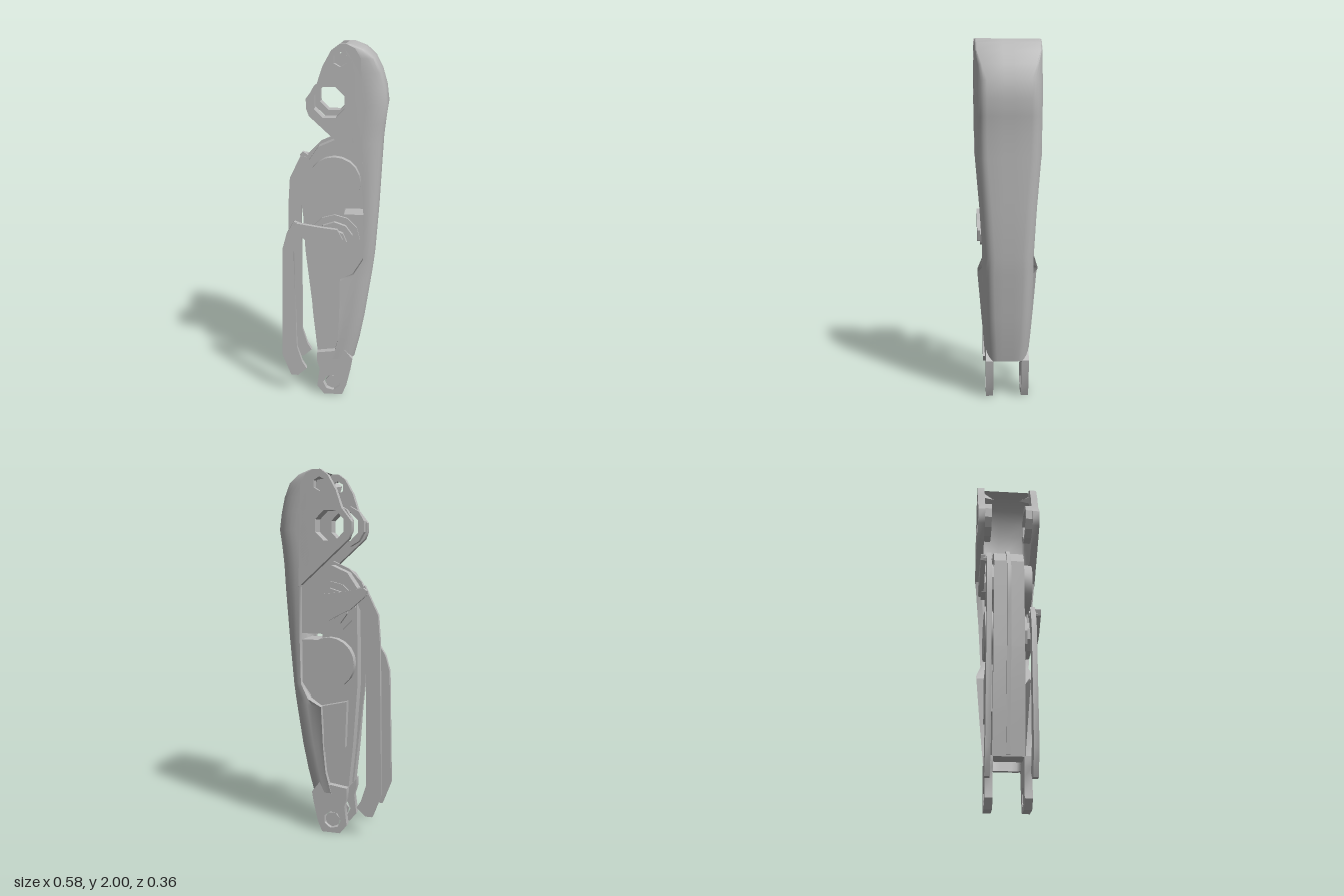
import * as THREE from 'three';
import { toCreasedNormals } from 'three/addons/utils/BufferGeometryUtils.js';

export function createModel() {
  const root = new THREE.Group();
  root.name = 'mechanicalLegSegment';
  const metal = new THREE.MeshStandardMaterial({ color: 0xb9b9b9, side: THREE.DoubleSide });
  metal.name = 'light grey metal';

  const add = (name, geo, crease = 0.5) => {
    const mesh = new THREE.Mesh(toCreasedNormals(geo, crease), metal);
    mesh.name = name;
    root.add(mesh);
    return mesh;
  };

  // points of a regular polygon
  const polygon = (x, y, r, n, dir = 1) => Array.from({ length: n }, (_, i) => {
    const a = dir * (i + 0.5) / n * Math.PI * 2;
    return new THREE.Vector2(x + r * Math.cos(a), y + r * Math.sin(a));
  });

  // flat plate in the xy plane between z0 and z1; holes are [x, y, radius, sides]
  const plate = (name, pts, z0, z1, holes = []) => {
    const shape = new THREE.Shape(pts.map(p => new THREE.Vector2(p[0], p[1])));
    for (const [x, y, r, n] of holes) shape.holes.push(new THREE.Path(polygon(x, y, r, n, -1)));
    const geo = new THREE.ExtrudeGeometry(shape, { depth: Math.abs(z1 - z0), bevelEnabled: false });
    geo.translate(0, 0, Math.min(z0, z1));
    return add(name, geo);
  };

  // disc with its axis along z
  const disc = (name, x, y, r, z0, z1, n = 20) => {
    const geo = new THREE.CylinderGeometry(r, r, Math.abs(z1 - z0), n);
    geo.rotateX(Math.PI / 2);
    geo.translate(x, y, (z0 + z1) / 2);
    return add(name, geo);
  };

  // channel shell: U sections [y, front edge x, back x, half width at front edge, half width at bend]
  const sections = [
    [2.0, 0.06, 0.1, 0.178, 0.178], [1.975, 0.07, 0.165, 0.18, 0.18], [1.93, 0.09, 0.215, 0.18, 0.18],
    [1.86, 0.1, 0.253, 0.18, 0.18], [1.78, 0.1, 0.278, 0.18, 0.18], [1.69, 0.1, 0.29, 0.18, 0.18],
    [1.6, 0.1, 0.277, 0.18, 0.18], [1.5, 0.11, 0.266, 0.18, 0.18], [1.38, 0.16, 0.26, 0.177, 0.177],
    [1.1, 0.17, 0.247, 0.154, 0.154], [0.85, 0.17, 0.23, 0.139, 0.139], [0.77, 0.12, 0.22, 0.166, 0.142],
    [0.73, 0.045, 0.214, 0.166, 0.143], [0.5, 0.04, 0.18, 0.147, 0.137], [0.35, 0.03, 0.152, 0.134, 0.13],
    [0.23, 0.0, 0.123, 0.125, 0.123],
  ];
  const pos = [], idx = [];
  const t = 0.03, arc = 6;
  const n = 4 * (arc + 3);
  for (const [y, xf, xb, w, wm] of sections) {
    const bend = Math.max(xf, xb - 0.11);
    const inset = Math.min(0.065, 0.015 + 0.35 * Math.max(0, 1.93 - y));
    const half = [[xf, w, xf, w - t]];
    for (let k = 0; k <= arc; k++) {
      const a = k / arc * Math.PI / 2;
      const x = bend + (xb - bend) * Math.sin(a), z = wm - inset * (1 - Math.cos(a));
      half.push([x, z, Math.max(xf, x - t * Math.sin(a)), z - t * Math.cos(a)]);
    }
    half.push([xb, 0.03, Math.max(xf, xb - t), 0.03]);
    const full = [...half, ...half.map(([x, z, u, v]) => [x, -z, u, -v]).reverse()];
    for (const [x, z] of full) pos.push(x, y, z);
    for (const [, , u, v] of full.reverse()) pos.push(u, y, v);
  }
  const quad = (a, b, c, d) => idx.push(a, b, c, b, d, c);
  for (let s = 0; s < sections.length - 1; s++) {
    for (let i = 0; i < n; i++) {
      const a = s * n + i, b = s * n + (i + 1) % n;
      quad(a, b, a + n, b + n);
    }
  }
  // rims at both ends
  const last = (sections.length - 1) * n;
  for (let i = 0; i < n / 2 - 1; i++) {
    quad(i, n - 1 - i, i + 1, n - 2 - i);
    quad(last + i, last + i + 1, last + n - 1 - i, last + n - 2 - i);
  }
  const shell = new THREE.BufferGeometry();
  shell.setAttribute('position', new THREE.Float32BufferAttribute(pos, 3));
  shell.setIndex(idx);
  add('channelShell', shell, 0.75);

  // mounting ears and lower fork on both sides
  const ear = [[0.04, 2], [0.08, 2], [0.12, 1.98], [0.15, 1.93], [0.165, 1.385], [0, 1.535], [-0.115, 1.64],
    [-0.13, 1.68], [-0.13, 1.73], [-0.075, 1.8], [-0.045, 1.89], [0, 1.97]];
  const fork = [[-0.05, 0], [0.055, 0], [0.08, 0.06], [0.105, 0.17], [0.115, 0.23], [0.06, 0.3], [0.035, 0.33],
    [0.02, 0.28], [-0.09, 0.265], [-0.09, 0.21], [-0.075, 0.16], [-0.09, 0.05]];
  for (const s of [1, -1]) {
    plate('mountingEar', ear, s * 0.14, s * 0.18, [[-0.01, 1.71, 0.085, 8], [0.045, 1.925, 0.037, 6]]);
    plate('lowerFork', fork, s * 0.08, s * 0.121, [[-0.005, 0.075, 0.05, 7]]);
    // raised ring inside each ear, bolt above it and pin in the fork eye
    plate('earBearing', polygon(-0.01, 1.71, 0.115, 12).map(p => [p.x, p.y]), s * 0.1, s * 0.14,
      [[-0.01, 1.71, 0.085, 8]]);
    const bolt = add('earBolt', new THREE.ConeGeometry(0.035, 0.06, 5));
    bolt.rotation.x = -s * Math.PI / 2;
    bolt.position.set(0.05, 1.922, s * 0.11);
    disc('forkPin', 0, 0.07, 0.043, s * 0.085, s * 0.1, 7);
  }

  // inner housing, with a slot between the two motors
  const core = [[-0.09, 0.26], [0.02, 0.26], [0.08, 0.5], [0.13, 0.78], [0.18, 0.85], [0.18, 1.09], [0.06, 1.09],
    [0.06, 1.125], [0.18, 1.125], [0.18, 1.4], [0.1, 1.47], [0.01, 1.5], [-0.08, 1.46], [-0.135, 1.38],
    [-0.14, 0.85], [-0.115, 0.5]];
  plate('motorHousing', core, -0.085, 0.085);
  const rib = [[-0.1, 0.27], [-0.06, 0.27], [0, 1.1], [0.1, 1.44], [0.02, 1.52], [-0.07, 1.48], [-0.14, 1.41],
    [-0.18, 1.31], [-0.19, 1.18], [-0.175, 1.05], [-0.165, 0.85]];
  plate('centreRib', rib, -0.014, 0.008);
  plate('coverPanel', [[-0.08, 0.5], [0.06, 0.46], [0.08, 0.72], [-0.09, 0.76]], -0.085, -0.125);

  // each side: one motor disc, one crank with lever, and one push rod
  const rodEnd = [[-0.29, 0.25], [-0.24, 0.12], [-0.2, 0.12], [-0.15, 0.165], [-0.175, 0.205], [-0.205, 0.3]];
  const sides = [
    { s: 1, motorY: 1.275, crankY: 0.95, tipY: 1.02,
      rod: [[-0.17, 1.04], [-0.21, 1.055], [-0.25, 0.99], [-0.275, 0.9], ...rodEnd, [-0.215, 0.88], [-0.16, 1.0]] },
    { s: -1, motorY: 0.97, crankY: 1.275, tipY: 1.35,
      rod: [[-0.15, 1.37], [-0.19, 1.395], [-0.265, 1.24], [-0.275, 1.1], ...rodEnd, [-0.2, 1.2], [-0.15, 1.3]] },
  ];
  for (const { s, motorY, crankY, tipY, rod } of sides) {
    disc('motorCan', 0.01, motorY, 0.142, s * 0.06, s * 0.132);
    disc('crankBase', 0.01, crankY, 0.14, s * 0.06, s * 0.1, 12);
    disc('crankCollar', 0.01, crankY, 0.105, s * 0.1, s * 0.125, 10);
    disc('crankHub', 0.01, crankY, 0.07, s * 0.12, s * 0.15, 8);
    plate('crankLever', [[-0.2, tipY - 0.01], [-0.12, tipY - 0.08], [-0.02, crankY - 0.055], [0.04, crankY - 0.04],
      [0.06, crankY + 0.02], [0.03, crankY + 0.075], [-0.06, crankY + 0.085], [-0.19, tipY + 0.035],
      [-0.21, tipY + 0.02]], s * 0.138, s * 0.165);
    disc('leverPin', -0.185, tipY, 0.02, s * 0.1, s * 0.15, 8);
    plate('pushRod', rod, s * 0.105, s * 0.132);
  }
  return root;
}
